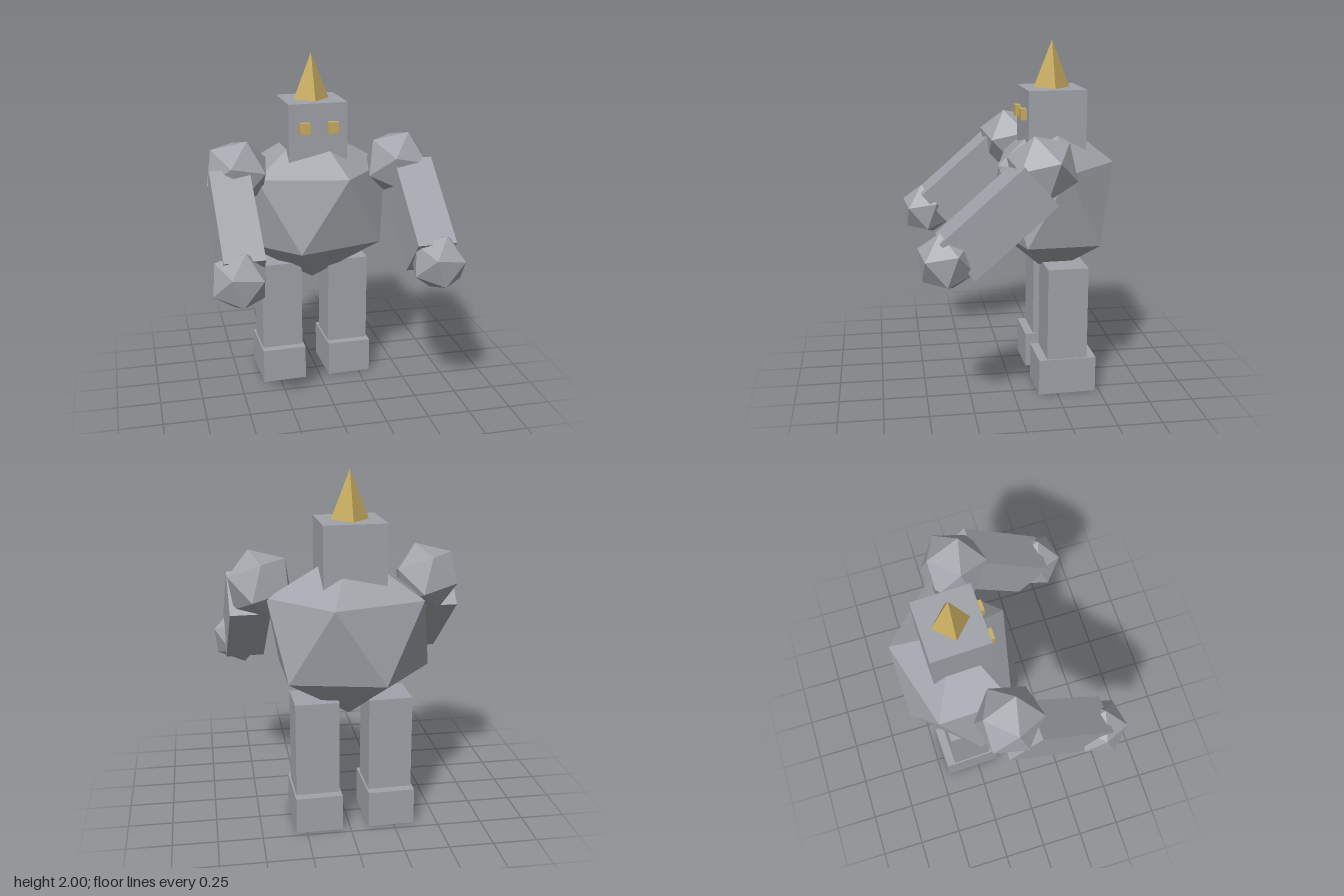
import * as THREE from 'three';

const stone = new THREE.MeshStandardMaterial({ color: 0xa0a3a9 });
stone.name = 'stone grey';
const gold = new THREE.MeshStandardMaterial({ color: 0xc8ad60 });
gold.name = 'dull gold';

const v = (x, y, z) => new THREE.Vector3(x, y, z);

function add(parent, name, geometry, material, x, y, z) {
  const mesh = new THREE.Mesh(geometry, material);
  mesh.name = name;
  mesh.position.set(x, y, z);
  parent.add(mesh);
  return mesh;
}

// Icosahedron boulder turned so that one of its edges runs between directions a and b
function boulder(radius, a, b) {
  const X = b.clone().sub(a).normalize();
  const Z = X.clone().cross(a.clone().add(b)).normalize();
  const Y = Z.clone().cross(X);
  const turn = new THREE.Matrix4().makeBasis(X, Y, Z);
  return new THREE.IcosahedronGeometry(radius, 0).applyMatrix4(turn);
}

export function createModel() {
  const model = new THREE.Group();
  model.name = 'stoneGolem';

  // The figure is turned very slightly about its upright axis
  const figure = new THREE.Group();
  figure.name = 'figure';
  figure.position.set(-0.022, 0, -0.26);
  figure.rotation.y = 0.033;
  model.add(figure);

  // Torso: boulder with a vertex at the top and bottom
  const torso = boulder(1, v(0, 1, 0), v(0.8944, 0.4472, 0));
  torso.scale(0.51, 0.48, 0.39);
  add(figure, 'torso', torso, stone, 0, 1.105, 0);

  // Head and horn
  add(figure, 'head', new THREE.BoxGeometry(0.346, 0.375, 0.33), stone, 0, 1.5475, 0);
  const horn = new THREE.ConeGeometry(0.104, 0.265, 4).toNonIndexed();
  horn.computeVertexNormals();
  add(figure, 'horn', horn, gold, 0, 1.8675, 0);

  const shoulder = boulder(0.2, v(-0.144, 0.14, 0.005), v(0.049, 0.185, 0.052));
  const hand = boulder(0.168, v(-0.127, 0.106, -0.009), v(0.029, 0.159, 0.036));

  // Paired parts; the boulders are repeated unmirrored
  for (const [side, s] of [['left', 1], ['right', -1]]) {
    add(figure, side + 'Eye', new THREE.BoxGeometry(0.063, 0.063, 0.063), gold, s * 0.083, 1.597, 0.167);

    add(figure, side + 'Shoulder', shoulder, stone, s * 0.476, 1.363, 0.152);
    const arm = add(figure, side + 'Arm', new THREE.BoxGeometry(0.225, 0.275, 0.583), stone, s * 0.536, 1.116, 0.407);
    arm.rotation.x = 0.715;
    add(figure, side + 'Hand', hand, stone, s * 0.56, 0.912, 0.675);

    add(figure, side + 'Leg', new THREE.BoxGeometry(0.246, 0.6, 0.232), stone, s * 0.2065, 0.45, -0.037);
    add(figure, side + 'Foot', new THREE.BoxGeometry(0.264, 0.21, 0.332), stone, s * 0.2065, 0.105, -0.038);
  }

  return model;
}
